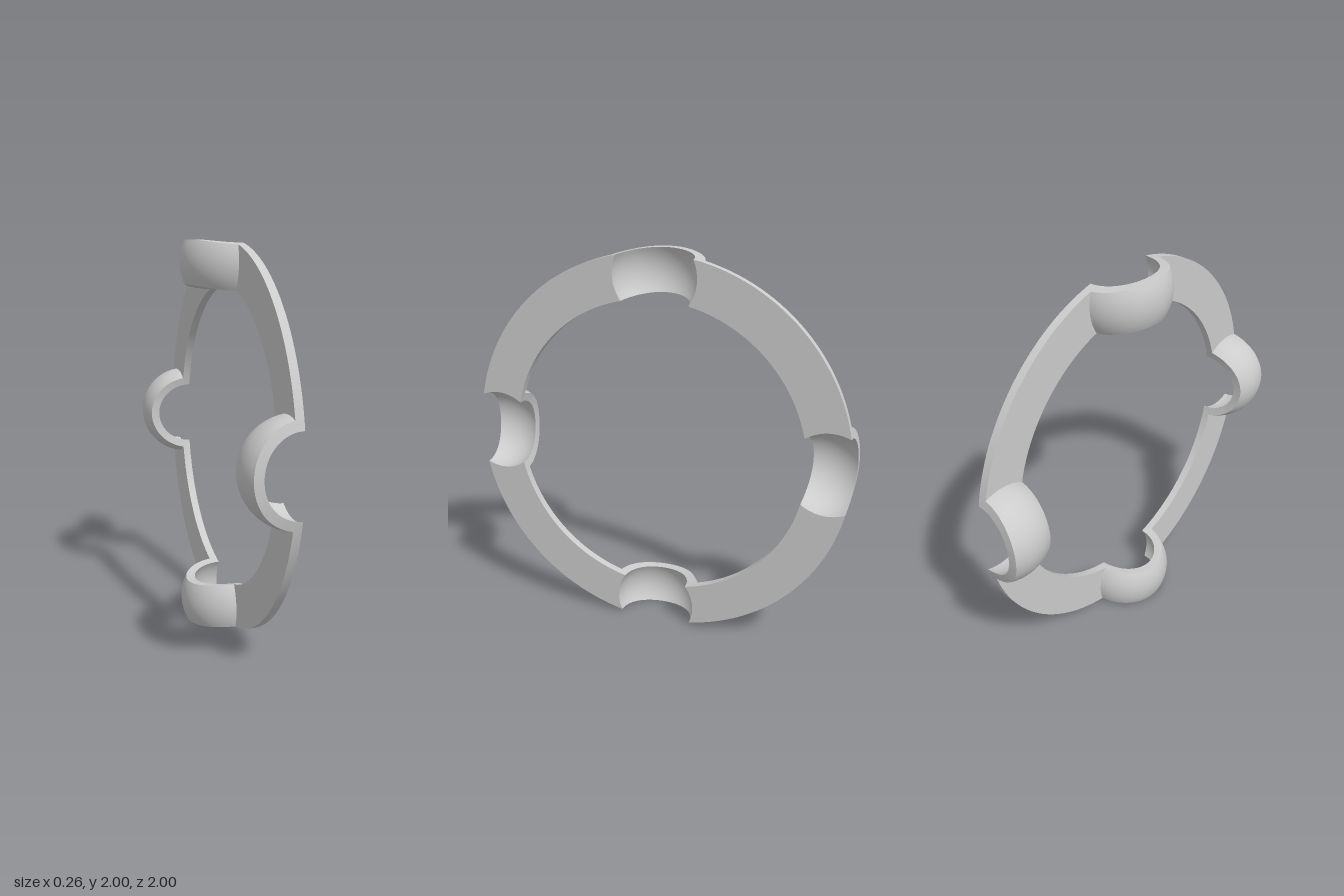
import * as THREE from 'three';
import { mergeGeometries } from 'three/addons/utils/BufferGeometryUtils.js';

// Half cage of a ball bearing: flat ring (axis along x) with four spherical pockets
const R_IN = 0.78, R_OUT = 1, R_BALL = 0.89; // ring edges and pitch radius
const X_FRONT = 0.126, X_BACK = 0.085;       // faces of the flat plate
const S_IN = 0.215, S_OUT = 0.256;           // pocket sphere radii
const POCKETS = 4;

const polar = (x, rho, theta) =>
  new THREE.Vector3(x, 1 + rho * Math.cos(theta), rho * Math.sin(theta));

// Where a pocket sphere crosses the cylinder of radius rho, t from -1 to 1 along the arc
function onSphere(radius, xEnd, rho, t) {
  const h = Math.sqrt(radius ** 2 - (rho - R_BALL) ** 2);
  const beta = t * Math.acos((X_FRONT - xEnd) / h);
  return {
    x: X_FRONT - h * Math.cos(beta),
    theta: 2 * Math.asin(h * Math.sin(beta) / (2 * Math.sqrt(rho * R_BALL))),
  };
}

// Smooth grid surface from a function of u and v (0 to 1)
function sheet(fn, nu, nv, flip) {
  const positions = [], index = [];
  for (let i = 0; i <= nu; i++)
    for (let j = 0; j <= nv; j++) positions.push(...fn(i / nu, j / nv).toArray());
  for (let i = 0; i < nu; i++)
    for (let j = 0; j < nv; j++) {
      const a = i * (nv + 1) + j, b = a + nv + 1;
      if (flip) index.push(a, a + 1, b, b, a + 1, b + 1);
      else index.push(a, b, a + 1, b, b + 1, a + 1);
    }
  const g = new THREE.BufferGeometry();
  g.setAttribute('position', new THREE.Float32BufferAttribute(positions, 3));
  g.setIndex(index);
  g.computeVertexNormals();
  return g;
}

// Solid between a back and a front surface, closed along the inner and outer rims
function slab(back, front, nu, nv) {
  const rim = (v) => (u, w) => back(u, v).lerp(front(u, v), w);
  return mergeGeometries([
    sheet(back, nu, nv, false),
    sheet(front, nu, nv, true),
    sheet(rim(1), nu, 1, false),
    sheet(rim(0), nu, 1, true),
  ]);
}

const rhoAt = (v) => R_IN + (R_OUT - R_IN) * v;

// Curved shell wrapped around one ball
function pocketGeometry() {
  const face = (radius, xEnd) => (u, v) => {
    const p = onSphere(radius, xEnd, rhoAt(v), 2 * u - 1);
    return polar(p.x, rhoAt(v), p.theta);
  };
  return slab(face(S_OUT, X_BACK), face(S_IN, X_FRONT), 48, 16);
}

// Flat plate from one pocket to the next, its ends following the spheres
function plateGeometry() {
  const face = (radius, x) => (u, v) => {
    const start = onSphere(radius, x, rhoAt(v), 1).theta;
    const end = 2 * Math.PI / POCKETS - start;
    return polar(x, rhoAt(v), start + (end - start) * u);
  };
  return slab(face(S_OUT, X_BACK), face(S_IN, X_FRONT), 32, 16);
}

export function createModel() {
  const group = new THREE.Group();
  group.name = 'bearingCageHalf';
  const material = new THREE.MeshStandardMaterial({ color: 0xcccccc });
  const parts = { ballPocket: pocketGeometry(), ringPlate: plateGeometry() };

  for (let i = 0; i < POCKETS; i++) {
    const sector = new THREE.Group();
    sector.name = `sector${i + 1}`;
    // Turn about the ring axis, which lies at y = 1
    const angle = i * 2 * Math.PI / POCKETS;
    sector.rotation.x = angle;
    sector.position.set(0, 1 - Math.cos(angle), -Math.sin(angle));
    for (const [name, geometry] of Object.entries(parts)) {
      const mesh = new THREE.Mesh(geometry, material);
      mesh.name = name;
      sector.add(mesh);
    }
    group.add(sector);
  }
  return group;
}
